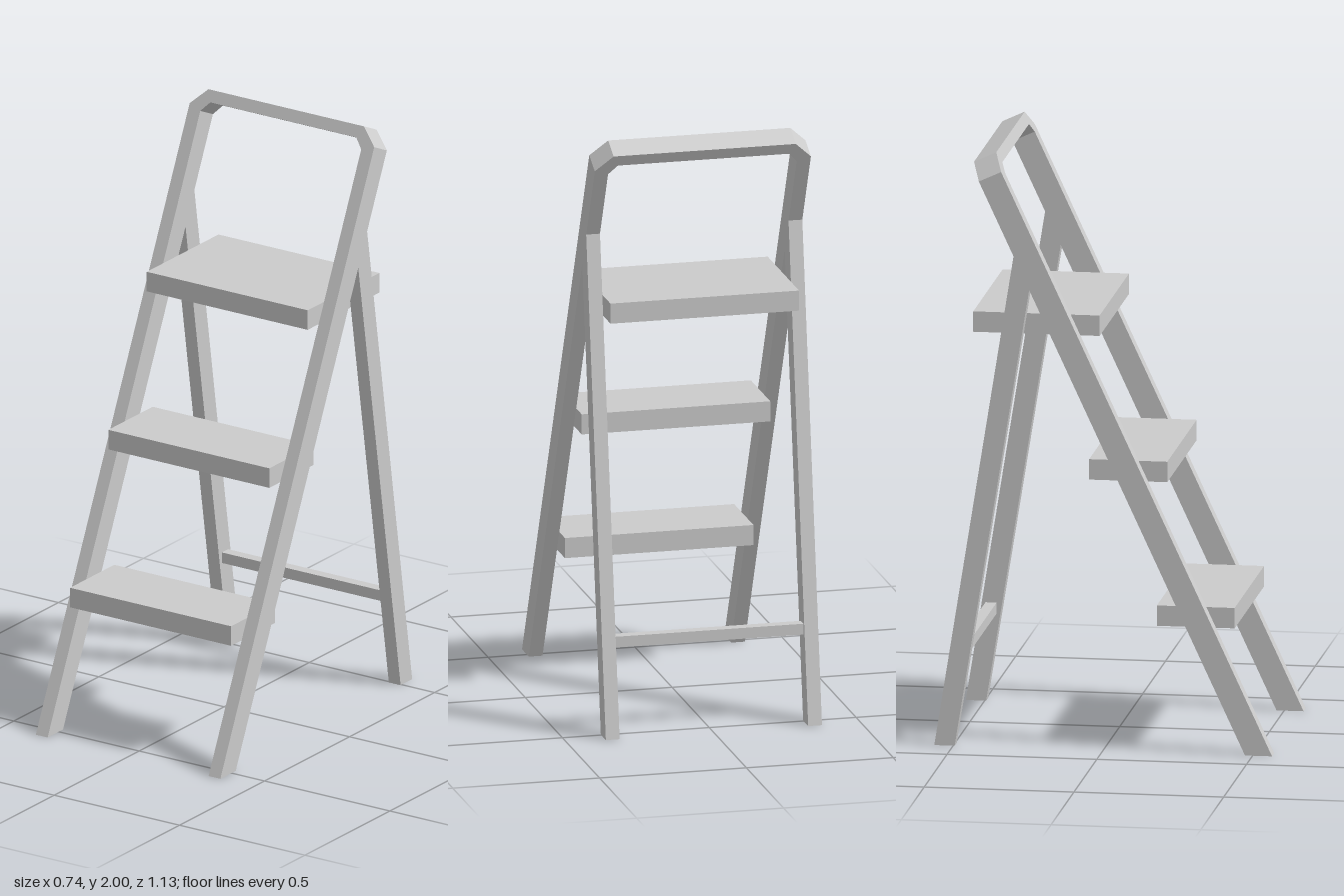
import * as THREE from 'three';

const IN = 0.321, OUT = 0.368; // inner and outer x of the side rails

export function createModel() {
  const model = new THREE.Group();
  model.name = 'stepLadder';
  const mat = new THREE.MeshStandardMaterial({ color: 0xcccccc, flatShading: true });

  const add = (name, geo) => {
    const mesh = new THREE.Mesh(geo, mat);
    mesh.name = name;
    model.add(mesh);
    return mesh;
  };
  const outline = (pts) => new THREE.Shape(pts.map(([x, y]) => new THREE.Vector2(x, y)));
  // Board between the rails, given by its y and z ranges
  const board = (name, y0, y1, z0, z1) => {
    add(name, new THREE.BoxGeometry(IN * 2, y1 - y0, z1 - z0))
      .position.set(0, (y0 + y1) / 2, (z0 + z1) / 2);
  };

  // Front frame: chamfered arch drawn flat, then leaned back
  const half = [[OUT, 0], [OUT, 2.146], [0.31, 2.205]];
  const inner = [[0.291, 2.164], [IN, 2.129], [IN, 0]];
  const mirror = (pts) => pts.map(([x, y]) => [-x, y]).reverse();
  const thick = 0.082, lean = Math.atan(0.465);
  const frame = new THREE.ExtrudeGeometry(
    outline([...half, ...mirror(half), ...mirror(inner), ...inner]),
    { depth: thick, bevelEnabled: false });
  frame.translate(0, 0, -thick).rotateX(-lean).translate(0, 0, 0.565);
  // Cut the feet level with the floor by sliding their corners along the rail
  const p = frame.attributes.position;
  for (let i = 0; i < p.count; i++) {
    const y = p.getY(i);
    if (y < 0.1) {
      p.setZ(i, p.getZ(i) + y * Math.tan(lean));
      p.setY(i, 0);
    }
  }
  frame.computeVertexNormals();
  add('frontFrame', frame);

  // Rear legs: side outline ends on the back edge of the front rail
  const leg = outline([[-0.495, 0], [-0.246, 1.55], [-0.298, 1.664], [-0.563, 0]]);
  for (const [name, x] of [['rearLegLeft', IN], ['rearLegRight', -OUT]]) {
    const geo = new THREE.ExtrudeGeometry(leg, { depth: OUT - IN, bevelEnabled: false });
    geo.rotateY(-Math.PI / 2); // outline x becomes z, depth becomes -x
    geo.translate(x + OUT - IN, 0, 0);
    add(name, geo);
  }

  // Steps and the rear cross bar
  board('bottomStep', 0.418, 0.487, 0.173, 0.433);
  board('middleStep', 0.905, 0.974, -0.053, 0.208);
  board('topStep', 1.392, 1.461, -0.44, -0.018);
  board('rearCrossBar', 0.296, 0.333, -0.497, -0.46);

  return model;
}
